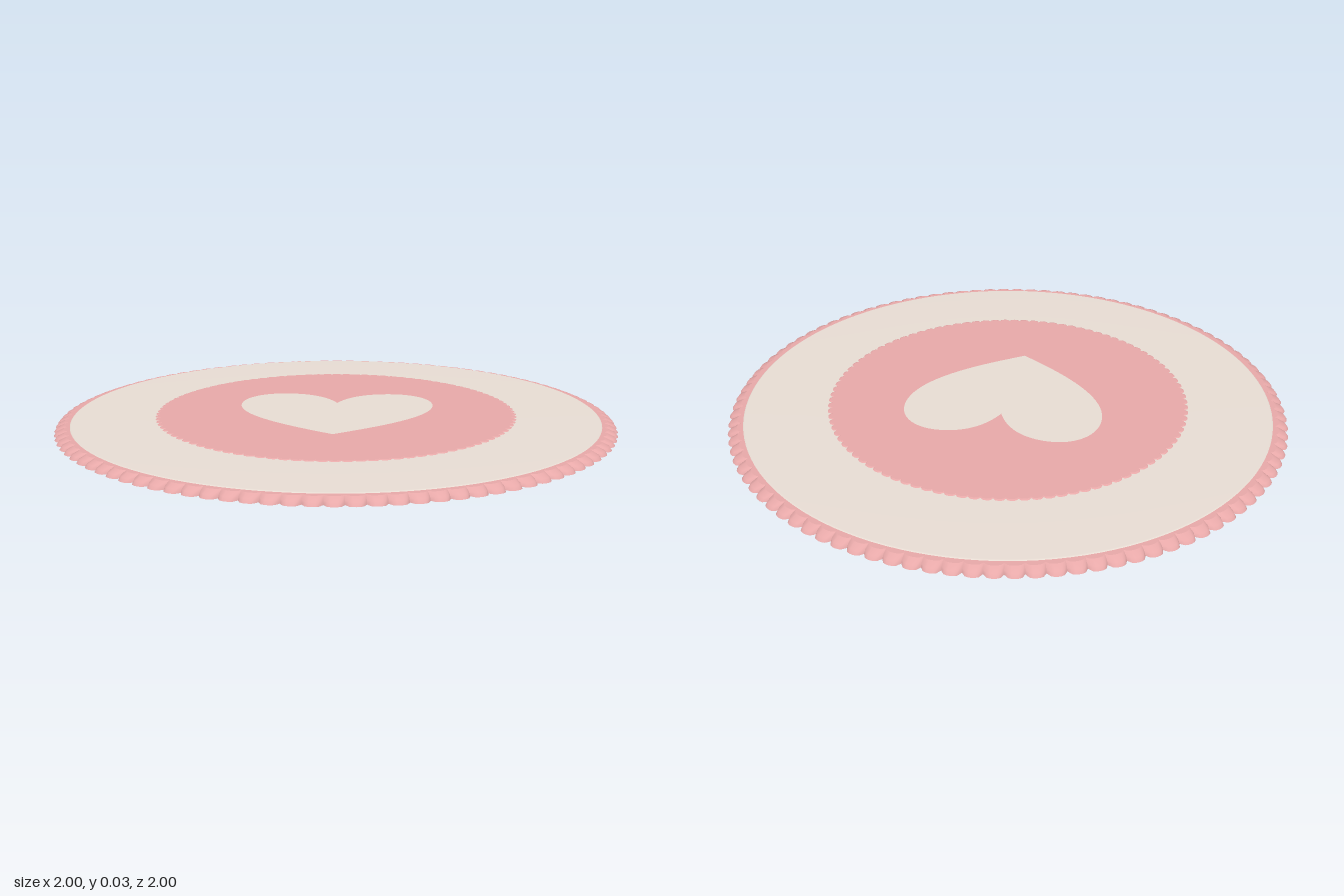
import * as THREE from 'three';

const COUNT = 100; // scallops around each edge
const STEPS = 6;   // segments per scallop

// Loft of concentric scalloped rings; profile rows are [radius, y, scallop depth], outer to inner.
// Every scallop has its own vertices, so the notches between them stay crisp.
function scallopGeometry(profile) {
  const pos = [], idx = [];
  for (let i = 0; i < COUNT; i++) {
    const start = pos.length / 3;
    for (const [r, y, depth] of profile) {
      for (let s = 0; s <= STEPS; s++) {
        const u = s / STEPS;
        const a = ((i + u) / COUNT) * Math.PI * 2;
        const rad = r - depth * (1 - Math.sqrt(Math.max(0, 1 - (2 * u - 1) ** 2)));
        pos.push(Math.sin(a) * rad, y, Math.cos(a) * rad);
      }
    }
    for (let p = 0; p < profile.length - 1; p++) {
      for (let s = 0; s < STEPS; s++) {
        const a = start + p * (STEPS + 1) + s, b = a + 1;
        const c = a + STEPS + 1, d = c + 1;
        idx.push(a, b, d, a, d, c);
      }
    }
  }
  const g = new THREE.BufferGeometry();
  g.setAttribute('position', new THREE.Float32BufferAttribute(pos, 3));
  g.setIndex(idx);
  g.computeVertexNormals();
  return g;
}

export function createModel() {
  const group = new THREE.Group();
  const pink = new THREE.MeshStandardMaterial({ color: 0xe8a9a9, side: THREE.DoubleSide });
  pink.name = 'pink';
  const cream = new THREE.MeshStandardMaterial({ color: 0xe9ded5, side: THREE.DoubleSide });
  cream.name = 'cream';
  const add = (name, geometry, material) => {
    const mesh = new THREE.Mesh(geometry, material);
    mesh.name = name;
    group.add(mesh);
    return mesh;
  };

  // Hollow scalloped rim sloping down to the ground, and the sheet it hangs from
  add('scallopedRim', scallopGeometry([[1, 0, 0.02], [0.991, 0.012, 0.018], [0.966, 0.022, 0.012]]), pink);
  add('baseSheet', scallopGeometry([[0.966, 0.022, 0.012], [0.9, 0.022, 0], [0.001, 0.022, 0]]), pink);

  // Shallow step on the underside
  const step = add('undersideStep', new THREE.CylinderGeometry(0.71, 0.71, 0.003, 96), pink);
  step.position.y = 0.0205;

  // Softly domed cream band
  const band = [[0.945, 0.0222], [0.94, 0.0255], [0.62, 0.0275]].map(([x, y]) => new THREE.Vector2(x, y));
  add('creamBand', new THREE.LatheGeometry(band, 128), cream);

  // Scalloped centre disc
  add('centreDiscEdge', scallopGeometry([[0.652, 0.0265, 0.012], [0.642, 0.0295, 0.01]]), pink);
  add('centreDisc', scallopGeometry([[0.642, 0.0295, 0.01], [0.6, 0.0295, 0], [0.001, 0.0295, 0]]), pink);

  // Heart inlay, lobes toward the back and tip toward the front
  const heart = new THREE.Shape();
  heart.moveTo(0, -0.33);
  heart.bezierCurveTo(0.13, -0.24, 0.355, -0.09, 0.355, 0.1);
  heart.bezierCurveTo(0.355, 0.2, 0.29, 0.27, 0.2, 0.27);
  heart.bezierCurveTo(0.11, 0.27, 0.04, 0.22, 0, 0.12);
  heart.bezierCurveTo(-0.04, 0.22, -0.11, 0.27, -0.2, 0.27);
  heart.bezierCurveTo(-0.29, 0.27, -0.355, 0.2, -0.355, 0.1);
  heart.bezierCurveTo(-0.355, -0.09, -0.13, -0.24, 0, -0.33);
  const heartMesh = add('heart', new THREE.ShapeGeometry(heart, 24), cream);
  heartMesh.rotation.x = -Math.PI / 2;
  heartMesh.position.y = 0.0305;

  return group;
}
